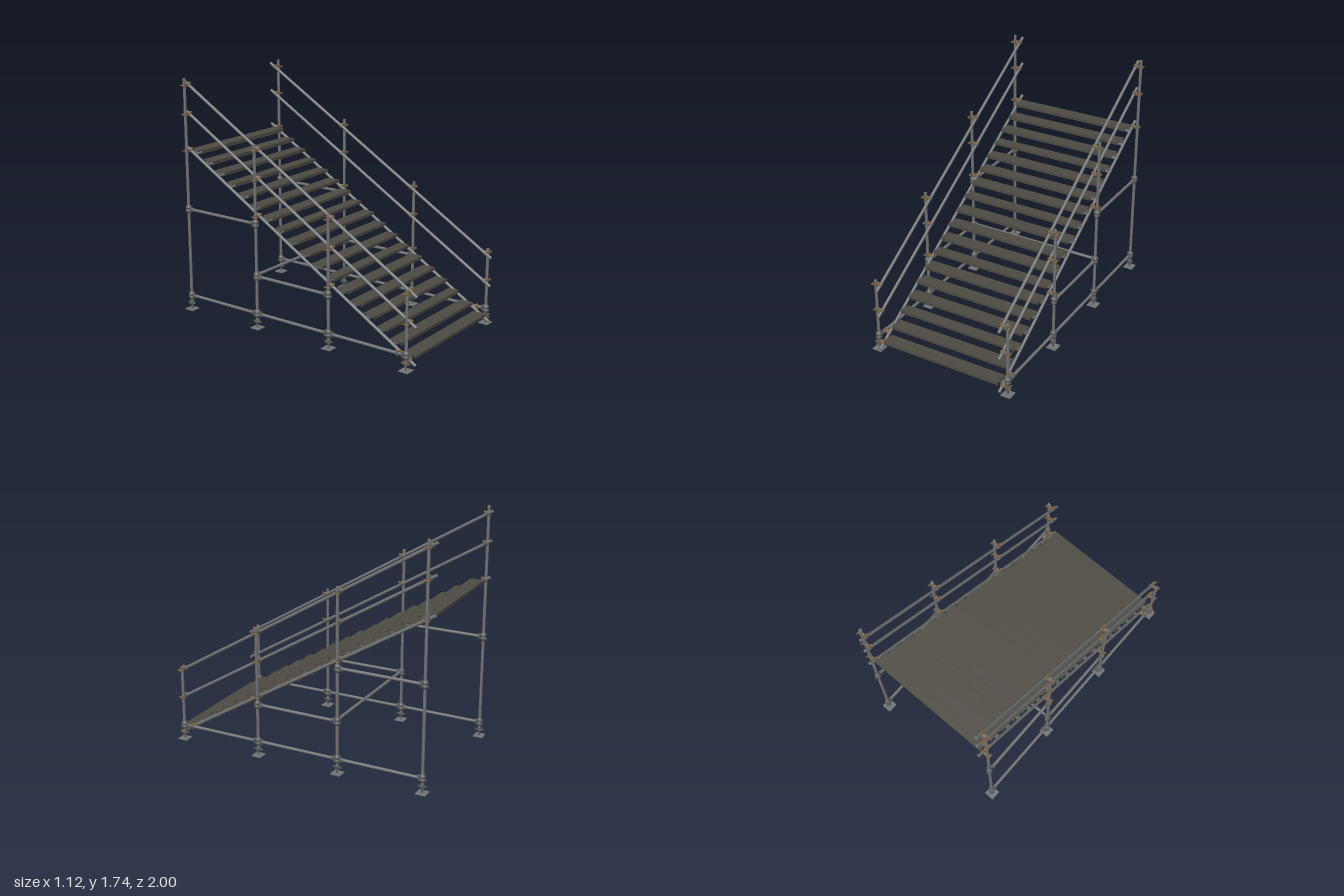
import * as THREE from 'three';

const steel = new THREE.MeshStandardMaterial({ color: 0x707273 });
const darkSteel = new THREE.MeshStandardMaterial({ color: 0x5c5e5e });
const deck = new THREE.MeshStandardMaterial({ color: 0x4e4a43 });
const brass = new THREE.MeshStandardMaterial({ color: 0x96693a });
steel.name = 'galvanised steel';
darkSteel.name = 'dark steel';
deck.name = 'tread deck';
brass.name = 'brass bolt';

const TUBE = 0.011, SLOPE = 0.604, POST_X = 0.525, RAIL_X = 0.485;
const POSTS = [[0.945, 0.565], [0.315, 0.955], [-0.315, 1.342], [-0.95, 1.735]]; // z, top
const RAILS = [['stringer', 0.634], ['midRail', 0.899], ['handRail', 1.109]];   // height at z = 0
const railDir = new THREE.Vector3(0, -SLOPE, 1).normalize();
const UP = new THREE.Vector3(0, 1, 0);

function rod(name, a, b, r, mat, sides = 14) {
  const p = new THREE.Vector3(...a), q = new THREE.Vector3(...b);
  const mesh = new THREE.Mesh(new THREE.CylinderGeometry(r, r, p.distanceTo(q), sides), mat);
  mesh.position.copy(p).add(q).multiplyScalar(0.5);
  mesh.quaternion.setFromUnitVectors(UP, q.sub(p).normalize());
  mesh.name = name;
  return mesh;
}

function box(name, size, pos, mat) {
  const mesh = new THREE.Mesh(new THREE.BoxGeometry(...size), mat);
  mesh.position.set(...pos);
  mesh.name = name;
  return mesh;
}

// Two clamps back to back: one around the post, one around the sloping rail
function coupler(s, y, z) {
  const g = new THREE.Group();
  g.name = 'coupler';
  const d = railDir.clone().multiplyScalar(0.012);
  const px = s * POST_X, rx = s * RAIL_X;
  g.add(
    rod('postClamp', [px, y - 0.012, z], [px, y + 0.012, z], 0.016, darkSteel),
    rod('railClamp', [rx, y - d.y, z - d.z], [rx, y + d.y, z + d.z], 0.016, darkSteel),
    box('couplerBody', [0.018, 0.02, 0.02], [s * 0.505, y, z], brass),
    rod('postBolt', [s * 0.541, y, z - 0.026], [s * 0.541, y, z + 0.022], 0.004, brass, 8),
    rod('postNut', [s * 0.541, y, z + 0.013], [s * 0.541, y, z + 0.021], 0.008, brass, 6),
    rod('railBolt', [rx, y + 0.017, z - 0.016], [rx, y + 0.017, z + 0.022], 0.004, brass, 8),
    rod('railNut', [rx, y + 0.015, z + 0.012], [rx, y + 0.015, z + 0.02], 0.008, brass, 6),
  );
  return g;
}

// Cup joint on a post where ledgers meet
function cupJoint(s, y, z) {
  const g = new THREE.Group();
  g.name = 'cupJoint';
  const profile = [[0.011, -0.03], [0.016, -0.028], [0.022, -0.014], [0.022, -0.006], [0.017, -0.004],
    [0.017, 0.006], [0.023, 0.008], [0.022, 0.016], [0.015, 0.028], [0.011, 0.03]]
    .map(([r, h]) => new THREE.Vector2(r, h));
  const cup = new THREE.Mesh(new THREE.LatheGeometry(profile, 16), darkSteel);
  cup.position.set(s * POST_X, y, z);
  cup.name = 'cup';
  g.add(cup);
  g.add(box('cupLug', [0.05, 0.01, 0.01], [s * POST_X, y + 0.014, z], darkSteel));
  g.add(box('cupLug', [0.01, 0.01, 0.054], [s * POST_X, y - 0.012, z], darkSteel));
  return g;
}

// Horizontal tube along the side with a forged blade at each end
function ledger(s, y, z0, z1) {
  const g = new THREE.Group();
  g.name = 'ledger';
  const x = s * POST_X;
  g.add(rod('ledgerTube', [x, y, z0 - 0.03], [x, y, z1 + 0.03], TUBE, steel));
  for (const [z, k] of [[z0, -1], [z1, 1]]) {
    g.add(box('ledgerBlade', [0.014, 0.044, 0.014], [x, y, z + k * 0.023], darkSteel));
    g.add(rod('ledgerCollar', [x, y, z + k * 0.028], [x, y, z + k * 0.045], 0.015, darkSteel));
  }
  return g;
}

// Adjustable foot: plate, threaded stem and winged nut
function baseJack(s, z) {
  const g = new THREE.Group();
  g.name = 'baseJack';
  const x = s * POST_X;
  g.add(
    box('footPlate', [0.075, 0.006, 0.075], [x, 0.003, z], steel),
    rod('stem', [x, 0.005, z], [x, 0.07, z], 0.007, darkSteel),
    rod('jackNut', [x, 0.042, z], [x, 0.06, z], 0.015, darkSteel),
    box('jackWings', [0.05, 0.01, 0.01], [x, 0.051, z], darkSteel),
    box('jackWings', [0.01, 0.01, 0.064], [x, 0.051, z], darkSteel),
  );
  return g;
}

// Open channel tread resting on a cross tube
function tread(i) {
  const g = new THREE.Group();
  g.name = 'tread';
  const z = -0.908 + i * 0.108, y = 1.214 - i * 0.0659;
  const depth = i % 4 === 3 ? 0.085 : 0.102, half = depth / 2;
  g.add(box('treadDeck', [0.93, 0.005, depth], [0, y - 0.0025, z], deck));
  for (const k of [-1, 1]) {
    g.add(box('treadLip', [0.93, 0.016, 0.004], [0, y - 0.012, z + k * (half - 0.002)], deck));
    g.add(box('treadReturn', [0.93, 0.003, 0.012], [0, y - 0.0185, z + k * (half - 0.006)], deck));
    g.add(box('treadHook', [0.03, 0.012, 0.03], [k * 0.468, y - 0.012, z], darkSteel));
    g.add(rod('treadBolt', [k * 0.29, y - 0.032, z], [k * 0.29, y - 0.032, z + 0.016], 0.006, brass, 6));
  }
  const ty = 0.634 - SLOPE * z;
  g.add(rod('treadTube', [-0.48, ty, z], [0.48, ty, z], TUBE, steel));
  return g;
}

export function createModel() {
  const model = new THREE.Group();
  model.name = 'scaffoldStair';

  for (const s of [-1, 1]) {
    for (const [z, top] of POSTS) {
      model.add(rod('post', [s * POST_X, 0.06, z], [s * POST_X, top, z], TUBE, steel));
      model.add(baseJack(s, z), cupJoint(s, 0.11, z));
      for (const [, h] of RAILS) model.add(coupler(s, h - SLOPE * z, z));
    }
    // Sloping rails
    for (const [name, h] of RAILS) {
      model.add(rod(name, [s * RAIL_X, h - SLOPE * 0.994, 0.994], [s * RAIL_X, h + SLOPE * 0.994, -0.994], TUBE, steel));
    }
    // Ledgers and upper joints
    for (let i = 0; i < 3; i++) model.add(ledger(s, 0.11, POSTS[i][0], POSTS[i + 1][0]));
    for (const [y, i] of [[0.39, 1], [0.775, 2]]) {
      model.add(ledger(s, y, POSTS[i][0], POSTS[i + 1][0]));
      model.add(cupJoint(s, y, POSTS[i][0]), cupJoint(s, y, POSTS[i + 1][0]));
    }
    // Clamp tying the stringer to the bottom ledger
    model.add(
      rod('stringerClamp', [s * POST_X, 0.11, 0.86], [s * POST_X, 0.11, 0.884], 0.016, darkSteel),
      box('stringerClampBody', [0.026, 0.024, 0.022], [s * 0.505, 0.108, 0.872], brass),
      rod('stringerClampBolt', [s * 0.525, 0.085, 0.872], [s * 0.525, 0.132, 0.872], 0.005, brass, 8),
    );
    model.add(box('transomBlade', [0.014, 0.04, 0.014], [s * 0.502, 0.398, -0.315], darkSteel));
  }

  // Tube joining the two sides below the stair
  model.add(rod('transom', [-0.5, 0.4, -0.315], [0.5, 0.4, -0.315], TUBE, steel));

  for (let i = 0; i < 18; i++) model.add(tread(i));
  return model;
}
